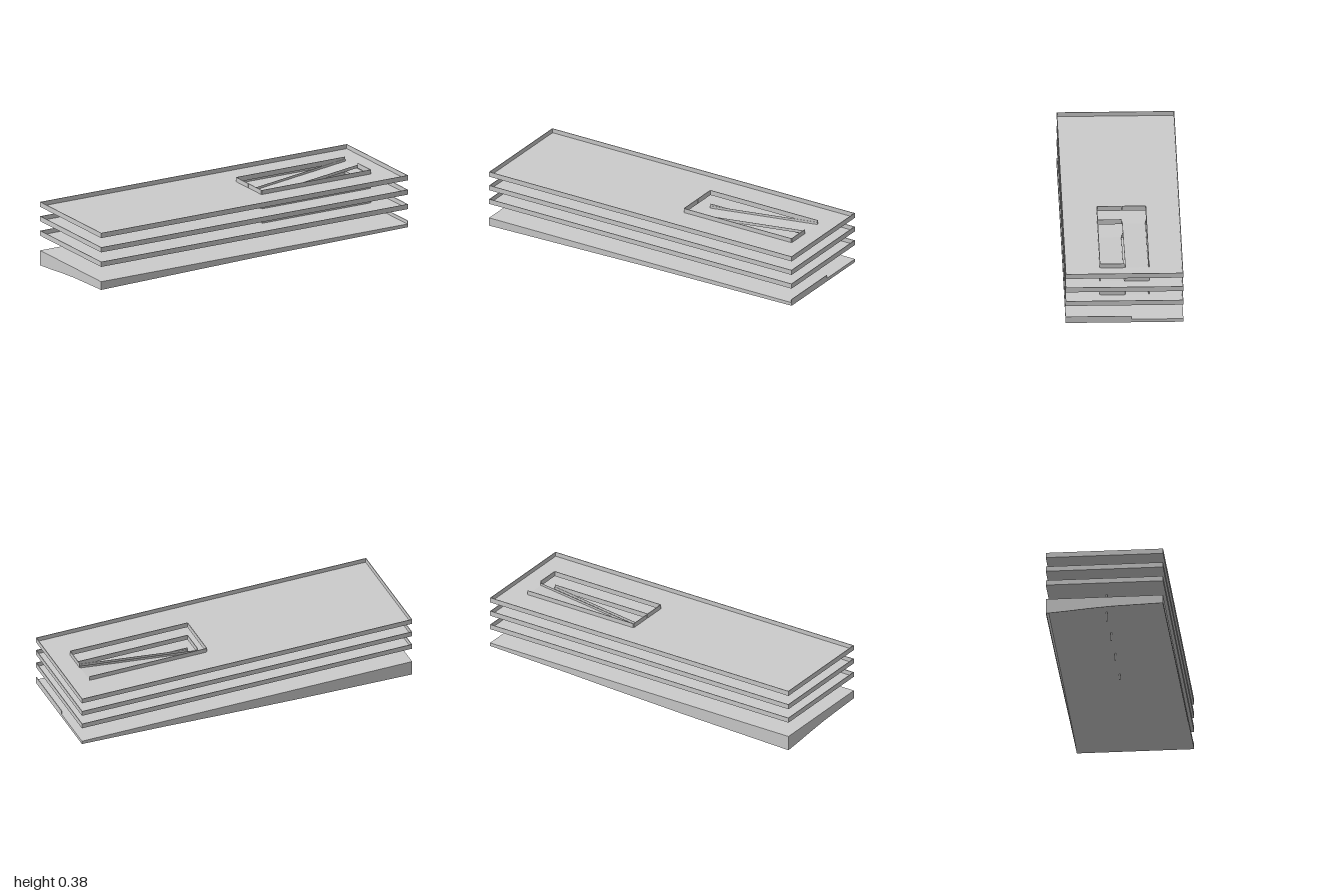
import * as THREE from 'three';

const L = 2.072, W = 0.68, T = 0.004;           // deck length, width, sheet thickness
const DECKS = [0.18, 0.268, 0.355], RIM = 0.03; // deck undersides and parapet height
const HOLE = { u0: 0.172, u1: 0.905, v0: -0.143, v1: 0.136 };
const LANES = [[-0.143, -0.008], [-0.004, 0.136]];

export function createModel() {
  const mat = new THREE.MeshStandardMaterial({ color: 0xcccccc, side: THREE.DoubleSide, flatShading: true });
  const model = new THREE.Group();
  model.name = 'parkingStructure';
  const building = new THREE.Group();
  building.name = 'building';
  building.rotation.y = 0.8405; // stands diagonally on its plot
  model.add(building);

  const add = (parent, name, geo) => {
    const mesh = new THREE.Mesh(geo, mat);
    mesh.name = name;
    parent.add(mesh);
    return mesh;
  };
  // box given by its limits along length (x), height (y) and width (z)
  const box = (parent, name, x0, x1, y0, y1, z0, z1) => {
    const m = add(parent, name, new THREE.BoxGeometry(x1 - x0, y1 - y0, z1 - z0));
    m.position.set((x0 + x1) / 2, (y0 + y1) / 2, (z0 + z1) / 2);
    return m;
  };

  // ground floor slab with a low wall on half of its far end
  box(building, 'groundFloor', -L / 2, L / 2, 0.07, 0.09, -W / 2, W / 2);
  box(building, 'endWall', L / 2 - T, L / 2, 0.09, 0.11, -0.04, W / 2);

  // foundation skirts following the sloping terrain, open underneath
  const skirt = (name, bottom) => {
    const first = bottom[0][0], last = bottom[bottom.length - 1][0];
    const pts = [...bottom, [last, 0.08], [first, 0.08]].map(p => new THREE.Vector2(...p));
    return add(building, name, new THREE.ExtrudeGeometry(new THREE.Shape(pts), { depth: T, bevelEnabled: false }));
  };
  skirt('rearSkirt', [[-L / 2, 0], [-0.31, 0.02], [0.226, 0.04], [0.494, 0.052], [L / 2, 0.07]])
    .position.z = -W / 2;
  skirt('frontSkirt', [[-L / 2, 0.04], [0, 0.06], [L / 2, 0.07]]).position.z = W / 2 - T;
  const end = skirt('endSkirt', [[-W / 2, 0], [-0.23, 0.008], [-0.1, 0.02], [0.04, 0.03], [W / 2, 0.04]]);
  end.rotation.y = -Math.PI / 2;
  end.position.x = -L / 2 + T;

  // decks: thin floor with a ramp opening, parapets outside and around the opening
  DECKS.forEach((y, i) => {
    const deck = new THREE.Group();
    deck.name = 'deck' + (i + 1);
    building.add(deck);
    const rect = (P, x0, x1, z0, z1) => new P([[x0, z0], [x1, z0], [x1, z1], [x0, z1]]
      .map(p => new THREE.Vector2(p[0], -p[1])));
    const shape = rect(THREE.Shape, -L / 2, L / 2, -W / 2, W / 2);
    shape.holes.push(rect(THREE.Path, HOLE.u0, HOLE.u1, HOLE.v0, HOLE.v1));
    const floor = add(deck, 'floor', new THREE.ExtrudeGeometry(shape, { depth: T, bevelEnabled: false }));
    floor.rotation.x = -Math.PI / 2;
    floor.position.y = y;

    const top = y + RIM;
    for (const s of [-1, 1]) {
      const z = s * (W - T) / 2, x = s * (L - T) / 2;
      box(deck, 'sideParapet', -L / 2, L / 2, y, top, z - T / 2, z + T / 2);
      box(deck, 'endParapet', x - T / 2, x + T / 2, y, top, -W / 2, W / 2);
    }
    box(deck, 'openingParapet', HOLE.u0, HOLE.u1, y, top, HOLE.v0 - T, HOLE.v0);
    box(deck, 'openingParapet', HOLE.u0, HOLE.u1, y, top, HOLE.v1, HOLE.v1 + T);
    LANES.forEach(([z0, z1], lane) => {
      const arrives = lane === i % 2;           // ramp coming up from below
      const departs = !arrives && i < 2;        // ramp going on to the next deck
      if (!departs) box(deck, 'openingParapet', HOLE.u0 - T, HOLE.u0, y, top, z0, z1);
      if (!arrives) box(deck, 'openingParapet', HOLE.u1, HOLE.u1 + T, y, top, z0, z1);
    });
  });

  // ramps in alternating lanes, each a sloping plate with low kerb walls
  DECKS.forEach((y, i) => {
    const ramp = new THREE.Group();
    ramp.name = 'ramp' + (i + 1);
    building.add(ramp);
    const y0 = i ? DECKS[i - 1] + T : 0.09, y1 = y + T;
    const [z0, z1] = LANES[i % 2];
    const strip = (name, low, high, za, zb) => {
      const pts = [[HOLE.u0, y0 + low], [HOLE.u1, y1 + low], [HOLE.u1, y1 + high], [HOLE.u0, y0 + high]];
      const geo = new THREE.ExtrudeGeometry(new THREE.Shape(pts.map(p => new THREE.Vector2(...p))),
        { depth: zb - za, bevelEnabled: false });
      add(ramp, name, geo).position.z = za;
    };
    strip('rampPlate', -T, 0, z0, z1);
    strip('rampKerb', 0, 0.014, z0, z0 + T / 2);
    strip('rampKerb', 0, 0.014, z1 - T / 2, z1);
  });

  // row of columns on the centre line, every other one reaching into the ground
  for (let i = 0; i < 7; i++) {
    const x = -0.871 + i * 0.1417, h = 0.004;
    box(building, 'column', x - h, x + h, i % 2 ? 0.09 : 0.013 + i * 0.0035, DECKS[2], -h, h);
  }
  return model;
}
